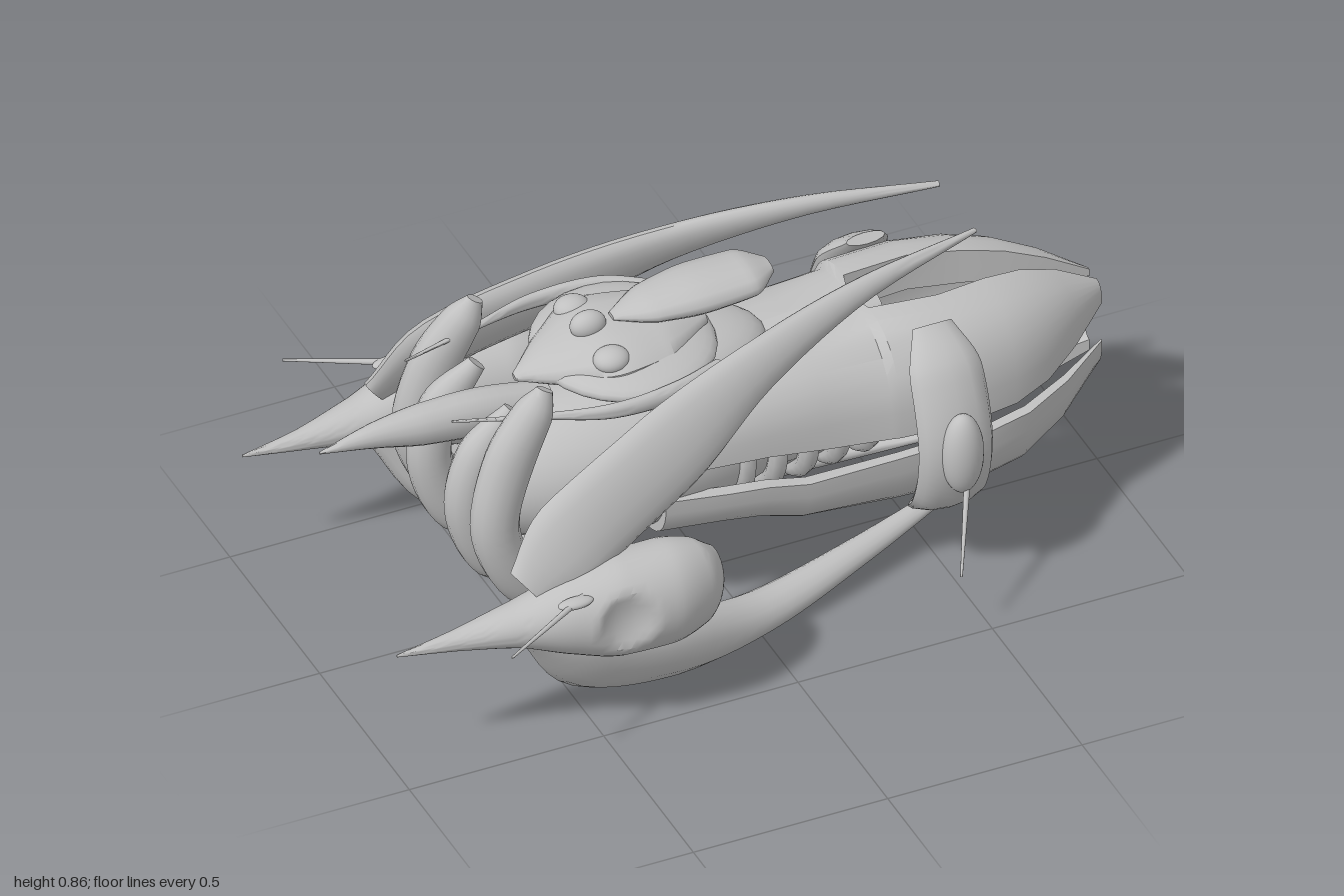
import * as THREE from 'three';
import { toCreasedNormals } from 'three/addons/utils/BufferGeometryUtils.js';

const V = (x, y, z) => new THREE.Vector3(x, y, z);

// Skin a list of equal-length rings (counter-clockwise about the travel direction) and cap both ends.
function skin(rings, crease = 0.7) {
  const n = rings[0].length, pos = [], idx = [];
  rings.forEach(r => r.forEach(p => pos.push(p.x, p.y, p.z)));
  for (let i = 0; i < rings.length - 1; i++) {
    for (let j = 0; j < n; j++) {
      const a = i * n + j, b = i * n + (j + 1) % n;
      idx.push(a, b, a + n, b, b + n, a + n);
    }
  }
  [0, rings.length - 1].forEach((i, end) => {
    const c = rings[i].reduce((s, p) => s.add(p), V(0, 0, 0)).divideScalar(n);
    const k = pos.length / 3;
    pos.push(c.x, c.y, c.z);
    for (let j = 0; j < n; j++) {
      const a = i * n + j, b = i * n + (j + 1) % n;
      if (end) idx.push(k, a, b); else idx.push(k, b, a);
    }
  });
  const g = new THREE.BufferGeometry();
  g.setAttribute('position', new THREE.Float32BufferAttribute(pos, 3));
  g.setIndex(idx);
  return toCreasedNormals(g, crease);
}

// Sweep an oval along stations [x, y, z, a, b]; a lies along ref, b across it; warp may move each point.
function sweep(stations, { ref = V(0, 1, 0), side = 1, sides = 14, steps = 28, warp = p => p } = {}) {
  const path = new THREE.CatmullRomCurve3(stations.map(s => V(s[0], s[1], s[2] * side)));
  const size = new THREE.CatmullRomCurve3(stations.map(s => V(s[3], s[4], 0)));
  const rings = [];
  for (let i = 0; i <= steps; i++) {
    const p = path.getPoint(i / steps), t = path.getTangent(i / steps), s = size.getPoint(i / steps);
    const u = ref.clone().addScaledVector(t, -ref.dot(t)).normalize();
    const v = t.clone().cross(u);
    const ring = [];
    for (let j = 0; j < sides; j++) {
      const q = j / sides * Math.PI * 2;
      ring.push(warp(p.clone().addScaledVector(u, Math.max(s.x, 0.003) * Math.cos(q))
        .addScaledVector(v, Math.max(s.y, 0.003) * Math.sin(q))));
    }
    rings.push(ring);
  }
  return skin(rings, 0.9);
}

// Hollow quarter shell from stations [x, inner z, outer z, rim y, crown y].
function shell(stations, side) {
  const rings = stations.map(([x, zi, zo, rim, crown]) => {
    const ring = [], n = 8, w = zo - zi, h = crown - rim;
    const arc = (ww, hh, k) => {
      const q = k / n * Math.PI / 2;
      ring.push(V(x, rim + hh * Math.cos(q) ** 0.8, (zi + ww * Math.sin(q) ** 0.8) * side));
    };
    for (let k = 0; k <= n; k++) arc(w, h, k);
    for (let k = n; k >= 0; k--) arc(w * 0.78, h * 0.6, k);
    return side * h < 0 ? ring.reverse() : ring;
  });
  return skin(rings, 0.6);
}

export function createModel() {
  const model = new THREE.Group();
  const grey = new THREE.MeshStandardMaterial({ color: 0xc0c0c0 });
  grey.name = 'hull grey';

  const add = (name, geo) => {
    const m = new THREE.Mesh(geo, grey);
    m.name = name;
    model.add(m);
    return m;
  };
  const ball = (name, p, r) => {
    const m = add(name, new THREE.SphereGeometry(1, 28, 18));
    m.position.set(...p);
    m.scale.set(...r);
  };
  const rod = (name, a, b, r0, r1) => {
    const d = b.clone().sub(a);
    const m = add(name, new THREE.CylinderGeometry(r1, r0, d.length(), 12));
    m.position.copy(a).add(b).multiplyScalar(0.5);
    m.quaternion.setFromUnitVectors(V(0, 1, 0), d.normalize());
  };

  // Central body with ribs showing between the shells
  ball('coreBody', [-0.2, 0.42, 0], [0.46, 0.2, 0.2]);
  rod('coreShaft', V(-0.1, 0.41, 0), V(0.39, 0.41, 0), 0.16, 0.13);
  for (let i = 0; i < 5; i++) {
    const rib = add('coreRib', new THREE.TorusGeometry(0.17 - i * 0.008, 0.025, 8, 32));
    rib.rotation.y = Math.PI / 2;
    rib.position.set(0.02 + i * 0.085, 0.41, 0);
  }
  rod('dorsalBlock', V(0.2, 0.6, 0), V(0.43, 0.6, 0), 0.07, 0.06);

  // Head, crest and neck
  ball('neck', [-0.1, 0.65, 0], [0.24, 0.08, 0.15]);
  ball('collar', [-0.22, 0.715, 0], [0.22, 0.05, 0.23]);
  add('head', sweep([[-0.5, 0.7, 0, 0.01, 0.01], [-0.4, 0.72, 0, 0.04, 0.1], [-0.28, 0.74, 0, 0.055, 0.165],
    [-0.15, 0.74, 0, 0.05, 0.14], [-0.02, 0.74, 0, 0.02, 0.04]]));
  add('crest', sweep([[-0.25, 0.8, 0, 0.008, 0.015], [-0.16, 0.808, 0, 0.03, 0.07], [-0.03, 0.815, 0, 0.042, 0.09],
    [0.09, 0.82, 0, 0.038, 0.085], [0.155, 0.825, 0, 0.012, 0.03]]));
  ball('topEye', [-0.31, 0.795, 0], [0.045, 0.035, 0.032]);

  // Tail spike and keel
  add('tailSpike', sweep([[-1, 0.635, 0, 0.003, 0.003], [-0.86, 0.643, 0, 0.032, 0.03], [-0.74, 0.638, 0, 0.052, 0.048],
    [-0.6, 0.63, 0, 0.06, 0.052], [-0.42, 0.61, 0, 0.05, 0.045]]));
  ball('keel', [-0.38, 0.18, 0], [0.16, 0.11, 0.055]);

  for (const s of [1, -1]) {
    // Split hull shells and the beam between them
    add('upperShell', shell([[-0.2, 0, 0.2, 0.46, 0.6], [-0.1, 0, 0.22, 0.455, 0.63], [0.05, 0, 0.23, 0.45, 0.655],
      [0.2, 0, 0.235, 0.43, 0.67], [0.36, 0, 0.25, 0.42, 0.675], [0.38, 0.07, 0.255, 0.42, 0.675],
      [0.55, 0.085, 0.265, 0.42, 0.67], [0.68, 0.06, 0.25, 0.425, 0.66], [0.78, 0.04, 0.21, 0.435, 0.64],
      [0.88, 0.025, 0.145, 0.46, 0.6], [0.99, 0.02, 0.05, 0.485, 0.535]], s));
    add('lowerShell', shell([[-0.2, 0.05, 0.2, 0.375, 0.235], [-0.05, 0.07, 0.225, 0.37, 0.235], [0.05, 0.08, 0.235, 0.365, 0.225],
      [0.15, 0.1, 0.245, 0.35, 0.2], [0.38, 0.13, 0.255, 0.36, 0.19], [0.6, 0.13, 0.26, 0.37, 0.18],
      [0.72, 0.1, 0.235, 0.375, 0.185], [0.85, 0.055, 0.165, 0.38, 0.22], [0.99, 0.02, 0.05, 0.375, 0.3]], s));
    add('middleBeam', sweep([[0.3, 0.41, 0.13, 0.03, 0.05], [0.55, 0.415, 0.14, 0.028, 0.045],
      [0.78, 0.425, 0.09, 0.024, 0.035], [0.95, 0.43, 0.035, 0.014, 0.012]], { side: s, sides: 8 }));

    // Side pods with a dent in the outer face, struts and aerials
    const dent = p => {
      const r = Math.hypot(p.x + 0.46, p.y - 0.345) / 0.075;
      if (r < 1 && p.z * s > 0.5) p.z -= s * 0.035 * (1 - r * r);
      return p;
    };
    add('sidePod', sweep([[-1, 0.335, 0.43, 0.003, 0.003], [-0.85, 0.335, 0.432, 0.025, 0.027],
      [-0.7, 0.34, 0.44, 0.055, 0.06], [-0.58, 0.34, 0.45, 0.098, 0.09], [-0.45, 0.335, 0.455, 0.13, 0.115],
      [-0.33, 0.333, 0.455, 0.133, 0.113], [-0.24, 0.33, 0.445, 0.115, 0.085], [-0.19, 0.33, 0.43, 0.075, 0.045]],
    { side: s, sides: 36, steps: 56, warp: dent }));
    rod('podStrut', V(-0.42, 0.34, 0), V(-0.42, 0.34, 0.42 * s), 0.07, 0.035);
    rod('podAerial', V(-0.53, 0.42, 0.49 * s), V(-0.8, 0.41, 0.64 * s), 0.009, 0.003);
    ball('aerialRoot', [-0.58, 0.418, 0.518 * s], [0.045, 0.012, 0.02]);

    // Long curved blades above and below the pods, leaning in towards their outer edges
    add('upperBlade', sweep([[-0.66, 0.42, 0.425, 0.06, 0.022], [-0.52, 0.525, 0.405, 0.115, 0.036], [-0.25, 0.645, 0.338, 0.11, 0.036],
      [0, 0.75, 0.265, 0.067, 0.03], [0.3, 0.82, 0.182, 0.032, 0.022], [0.64, 0.84, 0.1, 0.006, 0.008]],
    { ref: V(0, 1, -0.38 * s), side: s }));
    add('lowerBlade', sweep([[-0.64, 0.3, 0.43, 0.05, 0.04], [-0.5, 0.17, 0.415, 0.1, 0.055], [-0.28, 0.095, 0.365, 0.095, 0.065],
      [0, 0.044, 0.275, 0.045, 0.055], [0.3, 0.073, 0.19, 0.027, 0.035], [0.62, 0.12, 0.09, 0.009, 0.014]],
    { ref: V(0, 1, 0.45 * s), side: s }));

    // Forward brackets hugging the hull
    add('bracket', sweep([[0.49, 0.67, 0.185, 0.05, 0.014], [0.49, 0.585, 0.262, 0.092, 0.036], [0.49, 0.41, 0.318, 0.095, 0.046],
      [0.49, 0.26, 0.285, 0.094, 0.04], [0.49, 0.165, 0.19, 0.065, 0.018]], { ref: V(1, 0, 0), side: s, sides: 12 }));
    ball('bracketBoss', [0.49, 0.41, 0.355 * s], [0.052, 0.11, 0.045]);
    rod('bracketAerial', V(0.5, 0.33, 0.36 * s), V(0.425, 0.16, 0.49 * s), 0.008, 0.003);

    // Stern claws with rounded tips
    add('outerClaw', sweep([[-0.44, 0.19, 0.19, 0.02, 0.02], [-0.57, 0.27, 0.215, 0.045, 0.055], [-0.65, 0.45, 0.22, 0.05, 0.06],
      [-0.61, 0.63, 0.21, 0.05, 0.065], [-0.54, 0.75, 0.2, 0.042, 0.05], [-0.51, 0.8, 0.195, 0.015, 0.022]],
    { ref: V(0, 0, 1), side: s }));
    add('innerClaw', sweep([[-0.45, 0.21, 0.09, 0.02, 0.02], [-0.6, 0.28, 0.1, 0.045, 0.055], [-0.67, 0.45, 0.105, 0.048, 0.055],
      [-0.64, 0.59, 0.105, 0.045, 0.055], [-0.55, 0.69, 0.1, 0.02, 0.025]], { ref: V(0, 0, 1), side: s }));

    // Horns sweeping back around the head, and the eyes
    add('headHorn', sweep([[-0.05, 0.71, 0.17, 0.015, 0.018], [-0.18, 0.715, 0.225, 0.025, 0.018], [-0.35, 0.715, 0.235, 0.02, 0.014],
      [-0.52, 0.72, 0.19, 0.008, 0.008], [-0.72, 0.728, 0.13, 0.003, 0.003]], { side: s }));
    ball('sideEye', [-0.3, 0.765, 0.11 * s], [0.045, 0.03, 0.04]);
  }
  return model;
}
